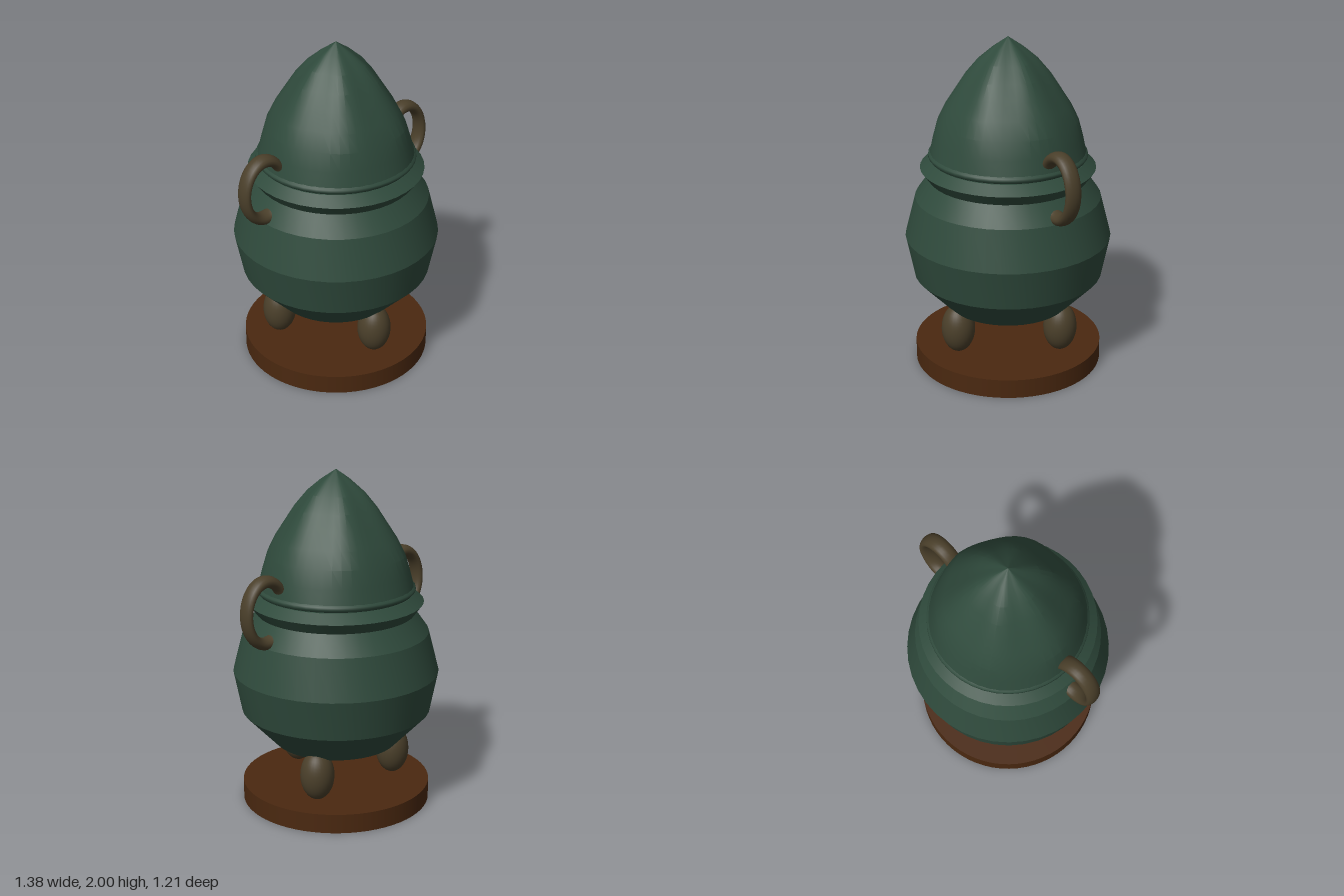
import * as THREE from 'three';
import { toCreasedNormals } from 'three/addons/utils/BufferGeometryUtils.js';

const material = (name, color) => Object.assign(new THREE.MeshStandardMaterial({ color }), { name });

export function createModel() {
  const group = new THREE.Group();
  const green = material('dark green', 0x2f4a3c);
  const bronze = material('dark bronze', 0x4a3f2a);
  const wood = material('brown wood', 0x4a2810);

  const add = (name, geometry, mat, x = 0, y = 0, z = 0) => {
    const mesh = new THREE.Mesh(geometry, mat);
    mesh.name = name;
    mesh.position.set(x, y, z);
    group.add(mesh);
    return mesh;
  };
  const lathe = (profile, segments = 40) =>
    new THREE.LatheGeometry(profile.map(([r, y]) => new THREE.Vector2(r, y)), segments);

  // Round wooden plinth
  add('plinth', new THREE.CylinderGeometry(0.56, 0.56, 0.115, 64), wood, 0, 0.0575);

  // Three egg-shaped feet, one at the front
  for (let i = 0; i < 3; i++) {
    const a = (i * Math.PI * 2) / 3;
    const foot = add('foot', new THREE.SphereGeometry(0.1, 28, 20), bronze,
      0.35 * Math.sin(a), 0.265, 0.35 * Math.cos(a));
    foot.scale.y = 1.5;
  }

  // Banded pot belly
  add('body', toCreasedNormals(lathe([
    [0, 0.35], [0.37, 0.37], [0.56, 0.57], [0.607, 0.81], [0.545, 1.05], [0.46, 1.17], [0.4, 1.18],
  ]), 0.2), green);

  // Flared collar
  add('collar', toCreasedNormals(lathe([
    [0.4, 1.165], [0.465, 1.165], [0.513, 1.23], [0.45, 1.28], [0.4, 1.285],
  ]), 0.2), green);

  // Rounded lid rim
  add('lidRim', lathe([
    [0.42, 1.28], [0.45, 1.284], [0.464, 1.3], [0.463, 1.315], [0.445, 1.33],
  ]), green);

  // Pointed lid with soft flutes that fade out at the rim and the tip
  const lid = lathe([
    [0.455, 1.31], [0.43, 1.41], [0.4, 1.51], [0.352, 1.605], [0.29, 1.7], [0.235, 1.785], [0.165, 1.87], [0.085, 1.94], [0, 2],
  ], 48);
  const p = lid.attributes.position;
  for (let i = 0; i < p.count; i++) {
    const t = (p.getY(i) - 1.31) / 0.69;
    const angle = Math.atan2(p.getZ(i), p.getX(i));
    const k = 1 + 0.06 * t * Math.cos(6 * angle);
    p.setXYZ(i, p.getX(i) * k, p.getY(i), p.getZ(i) * k);
  }
  add('lid', toCreasedNormals(lid, 0.25), green);

  // Oval side handles, sunk into the pot
  for (const side of [-1, 1]) {
    const handle = add(side > 0 ? 'leftHandle' : 'rightHandle',
      new THREE.TorusGeometry(0.18, 0.035, 16, 48), bronze, side * 0.53, 1.255);
    handle.scale.set(0.74, 1, 1.43);
  }
  return group;
}
